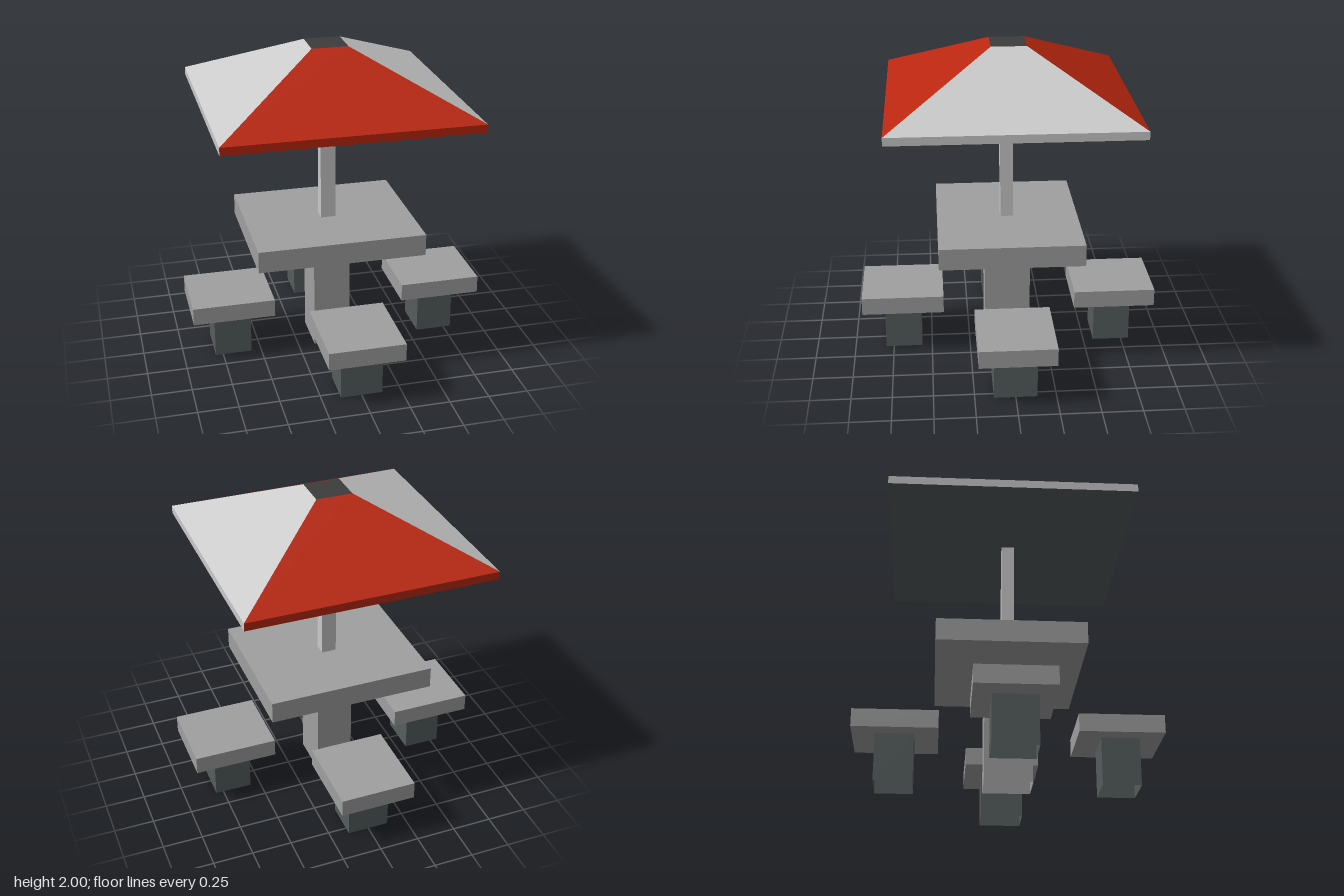
import * as THREE from 'three';

const material = (name, color, side = THREE.FrontSide) => {
  const m = new THREE.MeshStandardMaterial({ color, side });
  m.name = name;
  return m;
};

// Box given by its limits on each axis; openBottom leaves out the lower face
function block(name, mat, [x0, x1], [y0, y1], [z0, z1], openBottom = false) {
  const geo = new THREE.BoxGeometry(x1 - x0, y1 - y0, z1 - z0);
  if (openBottom) {
    const index = Array.from(geo.index.array);
    index.splice(18, 6);
    geo.setIndex(index);
    geo.clearGroups();
  }
  const mesh = new THREE.Mesh(geo, mat);
  mesh.name = name;
  mesh.position.set((x0 + x1) / 2, (y0 + y1) / 2, (z0 + z1) / 2);
  return mesh;
}

// Flat four-cornered faces, corners anticlockwise seen from outside
function panel(name, mat, ...quads) {
  const points = quads.flatMap(([a, b, c, d]) => [a, b, c, a, c, d]).flat();
  const geo = new THREE.BufferGeometry();
  geo.setAttribute('position', new THREE.Float32BufferAttribute(points, 3));
  geo.computeVertexNormals();
  const mesh = new THREE.Mesh(geo, mat);
  mesh.name = name;
  return mesh;
}

// Corner ring, anticlockwise from above, starting front left of the picture
const ring = (x0, x1, z0, z1, y) => [[x0, y, z1], [x1, y, z1], [x1, y, z0], [x0, y, z0]];

export function createModel() {
  const concrete = material('concrete grey', 0xa0a0a0, THREE.DoubleSide);
  const slate = material('slate grey', 0x555d5d, THREE.DoubleSide);
  const white = material('pale canvas', 0xcacaca);
  const red = material('red canvas', 0xba260f);
  const dark = material('dark cap', 0x3c3c3c);

  const model = new THREE.Group();
  model.name = 'picnicTable';

  // Table
  const table = new THREE.Group();
  table.name = 'table';
  table.add(
    block('pedestal', concrete, [-0.145, 0.09], [0, 0.725], [-0.145, 0.147], true),
    block('tableTop', concrete, [-0.555, 0.5], [0.725, 0.863], [-0.452, 0.447]),
    block('pole', white, [-0.075, 0.02], [0.863, 1.625], [-0.038, 0.042])
  );
  model.add(table);

  // Four stools, one on each side
  const seatY = [0.295, 0.407], legY = [0, 0.295];
  for (const s of [1, -1]) {
    const span = (a, b) => (s > 0 ? [a, b] : [-b, -a]);
    const side = new THREE.Group();
    side.name = s > 0 ? 'leftStool' : 'rightStool';
    side.add(
      block('seat', concrete, span(0.42, 0.94), seatY, [-0.24, 0.23]),
      block('stoolLeg', slate, span(0.563, 0.798), legY, [-0.133, 0.133], true)
    );
    const end = new THREE.Group();
    end.name = s > 0 ? 'frontStool' : 'backStool';
    end.add(
      block('seat', concrete, [-0.238, 0.235], seatY, span(0.42, 0.94)),
      block('stoolLeg', slate, [-0.13, 0.132], legY, span(0.565, 0.8), true)
    );
    model.add(side, end);
  }

  // Canopy: each side is a rim strip and a slope up to the flat cap
  const canopy = new THREE.Group();
  canopy.name = 'canopy';
  const low = ring(-0.805, 0.745, -0.757, 0.745, 1.625);
  const rim = ring(-0.805, 0.745, -0.757, 0.745, 1.675);
  const top = ring(-0.142, 0.085, -0.117, 0.102, 2);
  ['front', 'left', 'back', 'right'].forEach((name, i) => {
    const j = (i + 1) % 4;
    canopy.add(panel(name + 'Canopy', i % 2 ? white : red,
      [low[i], low[j], rim[j], rim[i]],
      [rim[i], rim[j], top[j], top[i]]));
  });
  canopy.add(panel('canopyCap', dark, top));
  canopy.add(panel('canopyUnderside', slate, [...low].reverse()));
  model.add(canopy);

  return model;
}
